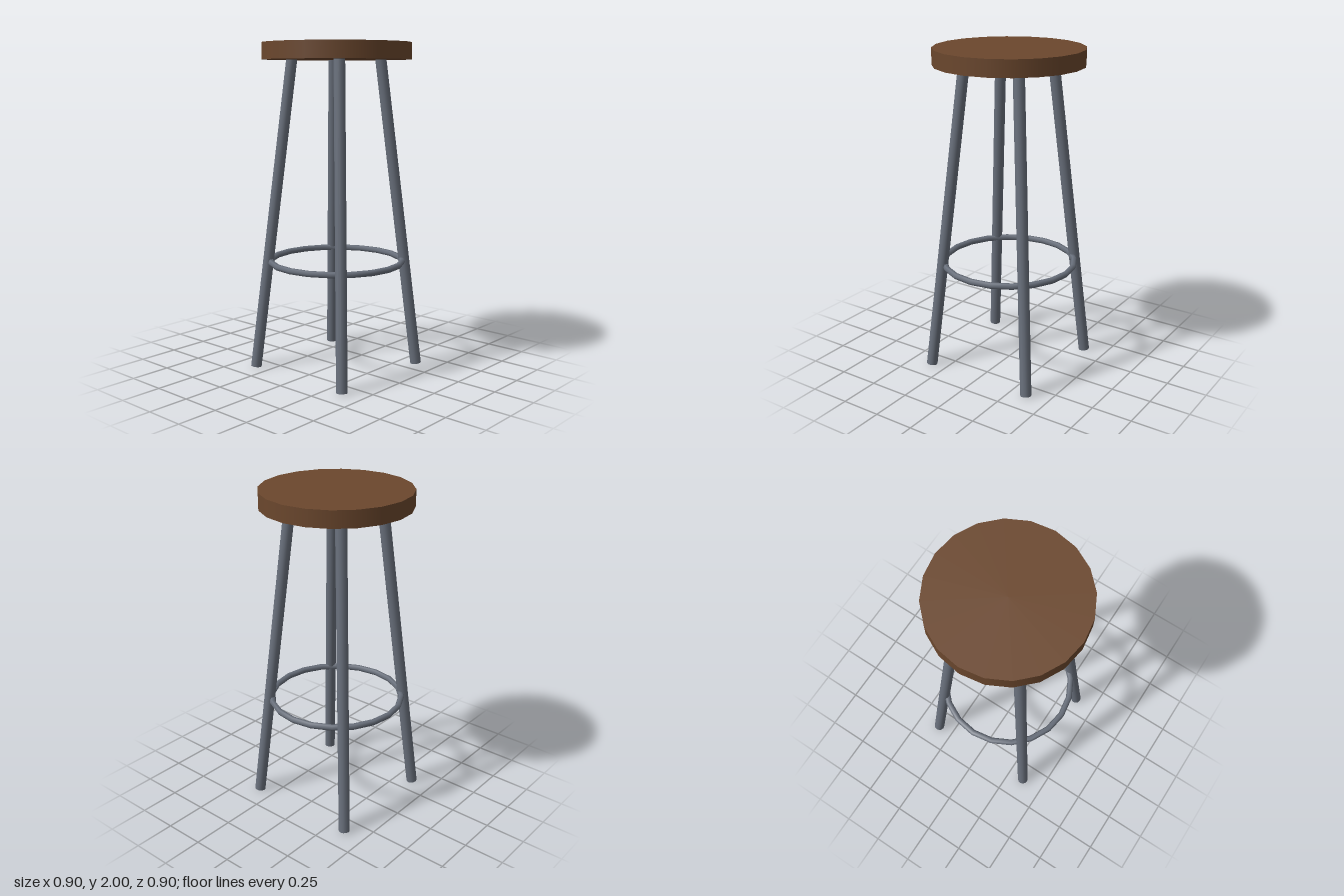
import * as THREE from 'three';

const wood = new THREE.MeshStandardMaterial({ name: 'brown wood', color: 0x6b472d });
const metal = new THREE.MeshStandardMaterial({ name: 'grey metal', color: 0x69707c });

// Cylinder running between two points
function rod(a, b, radius, sides) {
  const dir = b.clone().sub(a);
  const mesh = new THREE.Mesh(new THREE.CylinderGeometry(radius, radius, dir.length(), sides), metal);
  mesh.position.copy(a).add(b).multiplyScalar(0.5);
  mesh.quaternion.setFromUnitVectors(new THREE.Vector3(0, 1, 0), dir.normalize());
  return mesh;
}

export function createModel() {
  const stool = new THREE.Group();
  stool.name = 'barStool';

  // Round seat
  const seat = new THREE.Mesh(new THREE.CylinderGeometry(0.45, 0.45, 0.1, 20), wood);
  seat.name = 'seat';
  seat.position.y = 1.95;
  stool.add(seat);

  // Four splayed legs
  for (const [side, sx] of [['Left', 1], ['Right', -1]]) {
    for (const [end, sz] of [['front', 1], ['back', -1]]) {
      const foot = new THREE.Vector3(0.356 * sx, 0.004, 0.356 * sz);
      const top = new THREE.Vector3(0.188 * sx, 1.91, 0.188 * sz);
      const leg = rod(foot, top, 0.034, 12);
      leg.name = `${end}${side}Leg`;
      stool.add(leg);
    }
  }

  // Footrest ring
  const ring = new THREE.Mesh(new THREE.TorusGeometry(0.406, 0.019, 6, 20), metal);
  ring.name = 'footrestRing';
  ring.rotation.x = Math.PI / 2;
  ring.position.y = 0.674;
  stool.add(ring);

  return stool;
}
